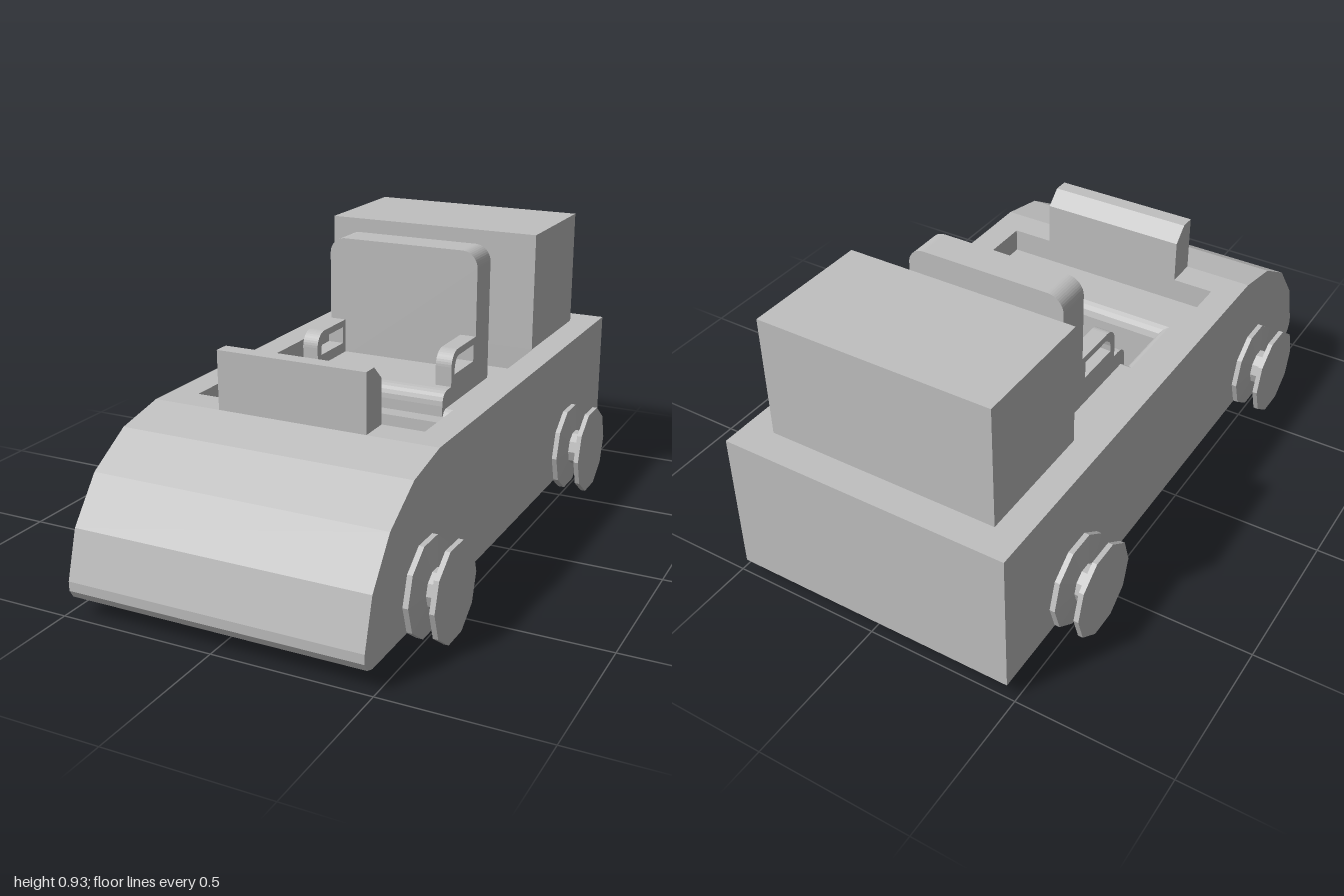
import * as THREE from 'three';

export function createModel() {
  const model = new THREE.Group();
  const grey = new THREE.MeshStandardMaterial({ color: 0xc0c0c0, flatShading: true });
  grey.name = 'lightGrey';
  grey.side = THREE.DoubleSide;

  const add = (name, geometry, parent = model) => {
    const mesh = new THREE.Mesh(geometry, grey);
    mesh.name = name;
    parent.add(mesh);
    return mesh;
  };

  // Box given by its limits on each axis
  const block = (name, x0, x1, y0, y1, z0, z1) =>
    add(name, new THREE.BoxGeometry(x1 - x0, y1 - y0, z1 - z0)
      .translate((x0 + x1) / 2, (y0 + y1) / 2, (z0 + z1) / 2));

  // Side profile in (z, y), extruded across x from x0 to x1
  const sideExtrude = (name, shape, x0, x1) =>
    add(name, new THREE.ExtrudeGeometry(shape, { depth: x1 - x0, bevelEnabled: false, curveSegments: 5 })
      .rotateY(-Math.PI / 2).scale(1, 1, 1).translate(x1, 0, 0));

  const polygon = (points) => new THREE.Shape(points.map(([a, b]) => new THREE.Vector2(a, b)));

  const TOP = 0.53, FLOOR = 0.45, WELL = 0.25;
  const BACK = -0.48, FRONT = 0.43;

  // Hull with faceted nose; the cockpit is notched out of its top
  sideExtrude('hull', polygon([
    [-1, 0.055], [0.955, 0.055], [0.985, 0.065], [1, 0.09], [1, 0.12], [0.955, 0.27],
    [0.85, 0.405], [0.7, 0.495], [0.53, TOP], [FRONT, TOP], [FRONT, WELL],
    [BACK, WELL], [BACK, TOP], [-1, TOP],
  ]), -0.475, 0.475);

  // Side walls of the cockpit
  for (const s of [-1, 1]) {
    block('cockpitWall', Math.min(s * 0.385, s * 0.475), Math.max(s * 0.385, s * 0.475), WELL, TOP, BACK, FRONT);
  }

  // Cockpit floor with an opening for the footwell
  const floor = polygon([[-0.385, -FRONT], [0.385, -FRONT], [0.385, -BACK], [-0.385, -BACK]]);
  floor.holes.push(polygon([[-0.31, -0.275], [-0.31, -0.01], [0.31, -0.01], [0.31, -0.275]]));
  add('cockpitFloor', new THREE.ShapeGeometry(floor).rotateX(-Math.PI / 2).translate(0, FLOOR, 0));

  // Footwell walls: rectangular rings rolling over a rounded lip
  const rings = [[FLOOR, 0], [0.443, 0.014], [0.43, 0.025], [0.41, 0.032], [WELL, 0.035]];
  const positions = [], index = [];
  rings.forEach(([y, inset], r) => {
    const x = 0.31 - inset, z0 = 0.01 + inset * 0.85, z1 = 0.275 - inset;
    positions.push(-x, y, z0, x, y, z0, x, y, z1, -x, y, z1);
    if (r === 0) return;
    for (let i = 0; i < 4; i++) {
      const a = (r - 1) * 4 + i, b = (r - 1) * 4 + (i + 1) % 4;
      index.push(a, a + 4, b, b, a + 4, b + 4);
    }
  });
  const well = new THREE.BufferGeometry();
  well.setAttribute('position', new THREE.Float32BufferAttribute(positions, 3));
  well.setIndex(index);
  well.computeVertexNormals();
  add('footwell', well);

  // Dashboard with a slanted rear edge
  sideExtrude('dashboard', polygon([
    [FRONT, TOP], [0.53, TOP], [0.53, 0.718], [0.48, 0.718], [FRONT, 0.672],
  ]), -0.247, 0.247);

  // Seat cushion with a rounded front edge
  const cushion = new THREE.Shape();
  cushion.moveTo(-0.3, FLOOR - 0.02);
  cushion.lineTo(0.035, FLOOR - 0.02);
  cushion.lineTo(0.035, 0.465);
  cushion.quadraticCurveTo(0.035, 0.51, -0.01, 0.51);
  cushion.lineTo(-0.3, 0.51);
  sideExtrude('seatCushion', cushion, -0.27, 0.27);

  // Seat back with rounded upper corners
  const w = 0.27, h = 0.91, r = 0.055;
  const back = new THREE.Shape();
  back.moveTo(-w, FLOOR);
  back.lineTo(w, FLOOR);
  back.lineTo(w, h - r);
  back.absarc(w - r, h - r, r, 0, Math.PI / 2);
  back.absarc(-w + r, h - r, r, Math.PI / 2, Math.PI);
  add('seatBack', new THREE.ExtrudeGeometry(back, { depth: 0.115, bevelEnabled: false, curveSegments: 6 })
    .translate(0, 0, -0.353));

  // Armrests: rounded loops with an opening
  const arm = new THREE.Shape();
  arm.moveTo(-0.24, 0.5);
  arm.lineTo(-0.035, 0.5);
  arm.lineTo(-0.035, 0.575);
  arm.absarc(-0.085, 0.575, 0.05, 0, Math.PI / 2);
  arm.lineTo(-0.24, 0.625);
  const opening = new THREE.Path();
  opening.moveTo(-0.22, 0.545);
  opening.lineTo(-0.22, 0.602);
  opening.lineTo(-0.095, 0.602);
  opening.quadraticCurveTo(-0.06, 0.602, -0.06, 0.545);
  arm.holes.push(opening);
  sideExtrude('leftArmrest', arm, 0.215, 0.27);
  sideExtrude('rightArmrest', arm, -0.27, -0.215);

  // Rear engine box
  block('rearBox', -0.382, 0.382, TOP, 0.93, -0.9, BACK);

  // Spool-shaped wheels with ten sides
  const spool = [
    [0, 0.47], [0.15, 0.47], [0.15, 0.492], [0.06, 0.505],
    [0.06, 0.54], [0.15, 0.554], [0.15, 0.57], [0, 0.57],
  ].map(([a, b]) => new THREE.Vector2(a, b));
  const wheel = new THREE.LatheGeometry(spool, 10).rotateZ(-Math.PI / 2);
  for (const z of [0.62, -0.62]) {
    for (const side of ['left', 'right']) {
      const mesh = add(side + (z > 0 ? 'FrontWheel' : 'RearWheel'), wheel);
      mesh.position.set(0, 0.146, z);
      if (side === 'right') mesh.rotation.y = Math.PI;
    }
  }

  return model;
}
